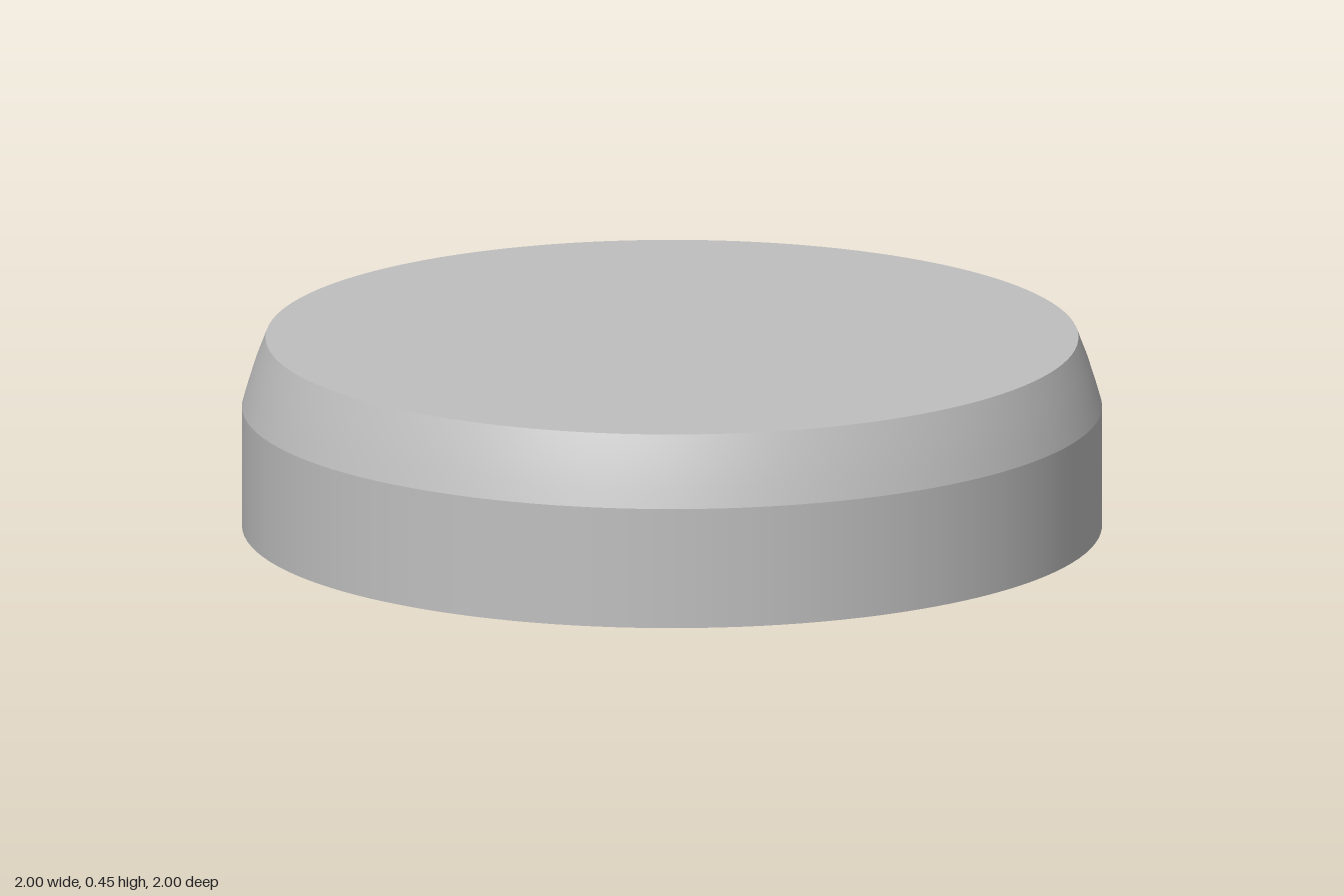
import * as THREE from 'three';

const SEGMENTS = 128;

// Surface of revolution; the outline runs so that the solid lies on its left
function revolve(name, outline, material) {
  const points = outline.map(([r, y]) => new THREE.Vector2(r, y));
  const mesh = new THREE.Mesh(new THREE.LatheGeometry(points, SEGMENTS), material);
  mesh.name = name;
  return mesh;
}

// Helical ridge on the inner wall, fading into the wall at both ends
function threadGeometry(wall, crest, pitch, startTurn, endTurn) {
  const steps = 200;
  const profile = [[0, -0.065], [1, -0.01], [1, 0.01], [0, 0.05]];
  const positions = [];
  const addPoint = (step, [depth, dy]) => {
    const turn = startTurn + (endTurn - startTurn) * step / steps;
    const fade = Math.min(1, (turn - startTurn) / 0.08, (endTurn - turn) / 0.08);
    const angle = Math.PI / 4 - turn * Math.PI * 2;
    const r = wall + 0.003 - (wall + 0.003 - crest) * depth * fade;
    const y = Math.max(0.01, 0.064 + pitch * turn + dy);
    positions.push(r * Math.cos(angle), y, r * Math.sin(angle));
  };
  for (let k = 0; k < 3; k++) {
    for (let i = 0; i <= steps; i++) {
      addPoint(i, profile[k]);
      addPoint(i, profile[k + 1]);
    }
  }
  const index = [];
  for (let k = 0; k < 3; k++) {
    for (let i = 0; i < steps; i++) {
      const a = (k * (steps + 1) + i) * 2;
      index.push(a, a + 1, a + 2, a + 1, a + 3, a + 2);
    }
  }
  const geometry = new THREE.BufferGeometry();
  geometry.setAttribute('position', new THREE.Float32BufferAttribute(positions, 3));
  geometry.setIndex(index);
  geometry.computeVertexNormals();
  return geometry;
}

export function createModel() {
  const group = new THREE.Group();
  group.name = 'screwCap';
  const grey = new THREE.MeshStandardMaterial({ color: 0xbfbfbf, side: THREE.DoubleSide });
  grey.name = 'grey';

  // Outer shell
  group.add(
    revolve('outerSkirt', [[1, 0], [1, 0.285]], grey),
    revolve('taperedShoulder', [[1, 0.285], [0.987, 0.33], [0.968, 0.39], [0.945, 0.45]], grey),
    revolve('topFace', [[0.945, 0.45], [0, 0.45]], grey),
  );

  // Hollow underside
  group.add(
    revolve('ceiling', [[0, 0.35], [0.875, 0.35]], grey),
    revolve('innerWall', [[0.875, 0.35], [0.875, 0.03]], grey),
    revolve('mouthChamfer', [[0.875, 0.03], [0.905, 0]], grey),
    revolve('bottomRim', [[0.905, 0], [1, 0]], grey),
  );

  // Screw thread
  const thread = new THREE.Mesh(threadGeometry(0.875, 0.83, 0.19, -0.27, 1.2), grey);
  thread.name = 'screwThread';
  group.add(thread);

  return group;
}
